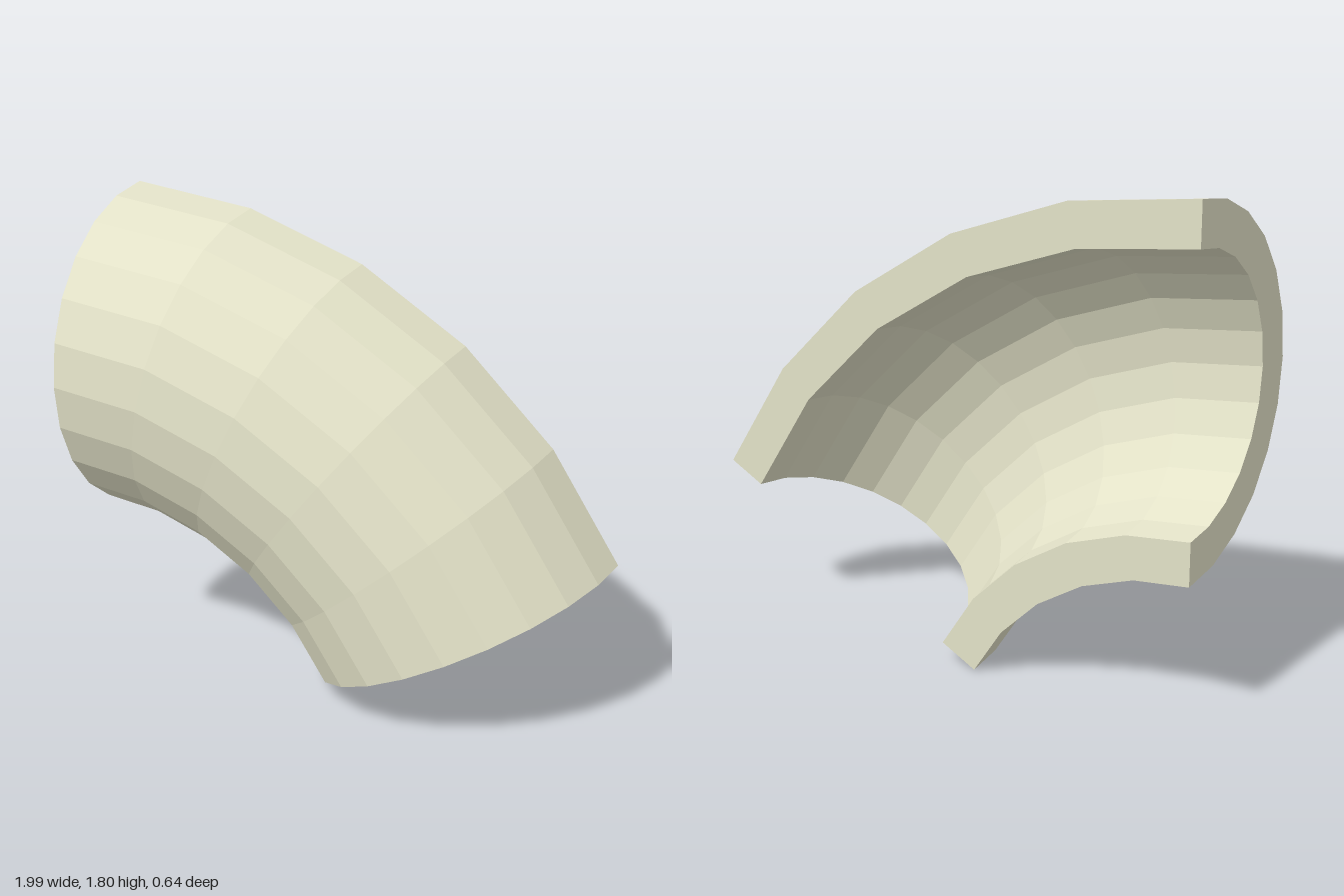
import * as THREE from 'three';

const BEND = 1.605;                               // bend radius of the pipe axis
const SWEEP = THREE.MathUtils.degToRad(62.7);
const OUTER = 0.64, INNER = 0.483;
const SIDES = 12, STEPS = 5;
const CENTRE = new THREE.Vector3(-1, -0.437, -0.32);

// points of a half circle, x = radial offset, y = depth
function halfCircle(radius) {
  return Array.from({ length: SIDES + 1 }, (_, i) => {
    const a = (i / SIDES) * Math.PI;
    return new THREE.Vector2(radius * Math.cos(a), radius * Math.sin(a));
  });
}

export function createModel() {
  const group = new THREE.Group();
  group.name = 'halfPipeElbow';

  // half-ring wall section, extruded straight and then bent round the centre
  const section = new THREE.Shape([...halfCircle(OUTER), ...halfCircle(INNER).reverse()]);
  const geometry = new THREE.ExtrudeGeometry(section, { depth: 1, steps: STEPS, bevelEnabled: false });
  const p = geometry.attributes.position;
  for (let i = 0; i < p.count; i++) {
    const r = BEND + p.getX(i), depth = p.getY(i), a = p.getZ(i) * SWEEP;
    p.setXYZ(i, CENTRE.x + r * Math.sin(a), CENTRE.y + r * Math.cos(a), CENTRE.z + depth);
  }
  geometry.computeVertexNormals();

  const material = new THREE.MeshStandardMaterial({ color: 0xe3e2c8, flatShading: true });
  const elbow = new THREE.Mesh(geometry, material);
  elbow.name = 'pipeWall';
  group.add(elbow);
  return group;
}
